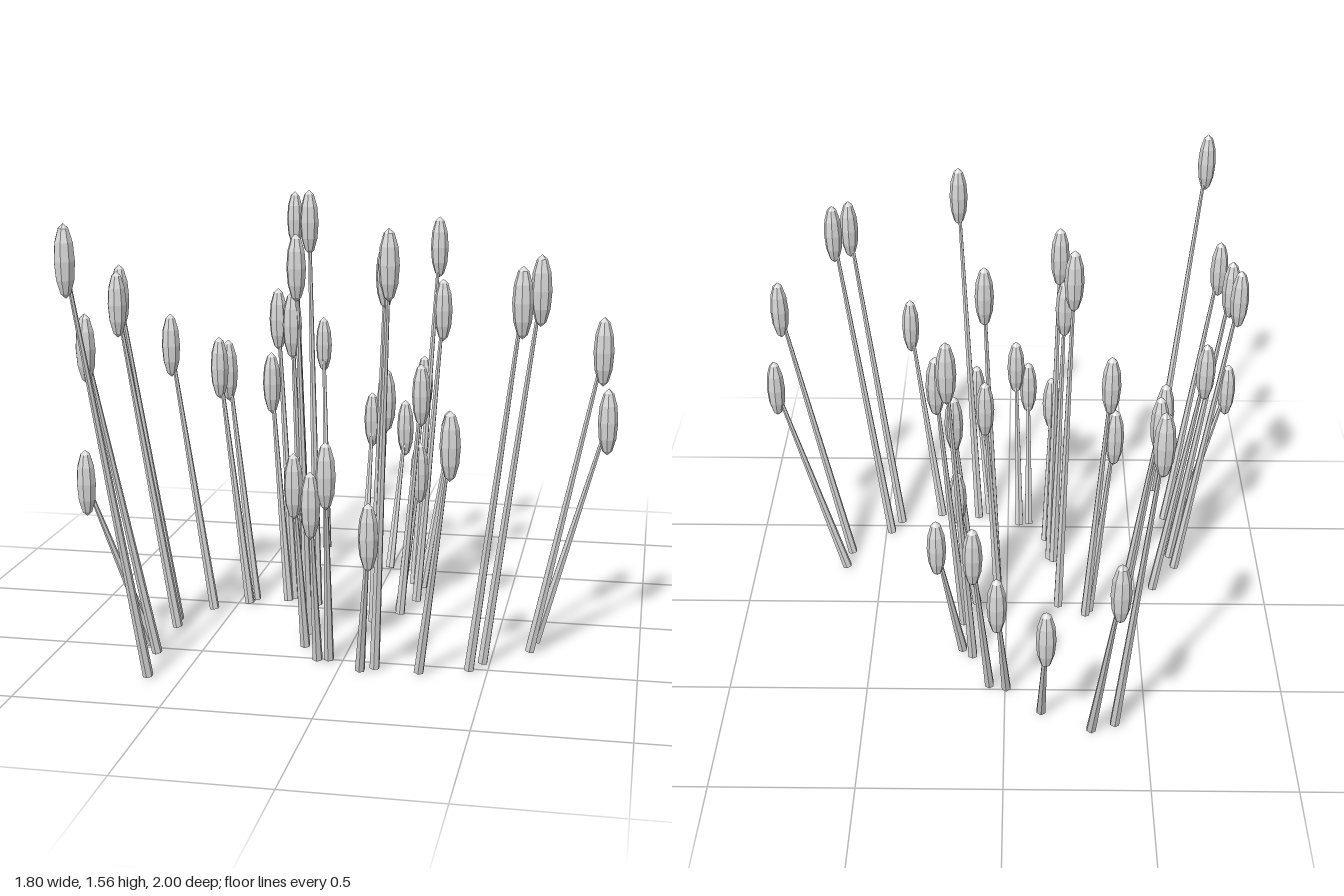
import * as THREE from 'three';

// One reed per triple: head x, head z, head centre height
const HEADS = [
  [-0.48, -0.93, 1.35], [-0.37, -0.97, 0.82], [-0.14, -0.85, 0.53],
  [0.025, -0.69, 0.54], [0.105, -0.67, 0.73], [0.19, -0.46, 1.31],
  [0.24, -0.41, 0.57], [0.24, -0.21, 1.11], [0.18, -0.05, 0.53],
  [0.19, -0.01, 0.83], [0.08, 0.09, 0.83], [0.08, 0.12, 1.28],
  [-0.21, 0.31, 1.13], [-0.19, 0.33, 1.33], [-0.17, 0.49, 0.61],
  [-0.08, 0.64, 0.59], [-0.03, 0.63, 0.69], [0.13, 0.73, 0.52],
  [0.19, 0.695, 1.4], [0.39, 0.71, 0.83], [0.605, 0.645, 1.285],
  [0.655, 0.55, 1.31], [0.85, 0.37, 1.085], [0.867, 0.245, 0.82],
  [-0.23, -0.065, 1.44], [-0.365, -0.135, 1.07], [-0.385, -0.1, 0.835],
  [-0.545, -0.085, 0.88], [-0.565, -0.03, 0.9], [-0.715, 0.08, 1],
  [-0.84, 0.26, 1.2], [-0.82, 0.35, 1.19], [-0.868, 0.59, 0.615],
  [-0.815, 0.69, 1.1], [-0.77, 0.965, 1.425],
];

// Every reed fans outward from one centre: its foot lies closer to it than its head
const FAN_CENTRE = new THREE.Vector3(-0.1, 0, 0.13);
const FAN_SPREAD = 1.31;

export function createModel() {
  const reedGrey = new THREE.MeshStandardMaterial({ color: 0xd8d8d8, flatShading: true });
  reedGrey.name = 'reedGrey';

  // Upright seed head, shared by all reeds
  const headGeometry = new THREE.SphereGeometry(0.034, 8, 6).scale(1, 0.116 / 0.034, 1);
  // Unit-long tapered stem rising from its foot
  const stemGeometry = new THREE.CylinderGeometry(0.006, 0.018, 1, 6).translate(0, 0.5, 0);
  const up = new THREE.Vector3(0, 1, 0);

  const model = new THREE.Group();
  model.name = 'reedCluster';
  for (const [x, z, height] of HEADS) {
    const reed = new THREE.Group();
    reed.name = 'reed';

    const top = new THREE.Vector3(x, height, z);
    const foot = new THREE.Vector3(x, 0, z).sub(FAN_CENTRE).divideScalar(FAN_SPREAD).add(FAN_CENTRE);
    foot.y = 0.008;
    const lean = top.clone().sub(foot);

    const stem = new THREE.Mesh(stemGeometry, reedGrey);
    stem.name = 'stem';
    stem.position.copy(foot);
    stem.scale.y = lean.length();
    stem.quaternion.setFromUnitVectors(up, lean.normalize());

    const head = new THREE.Mesh(headGeometry, reedGrey);
    head.name = 'seedHead';
    head.position.copy(top);

    reed.add(stem, head);
    model.add(reed);
  }
  return model;
}
